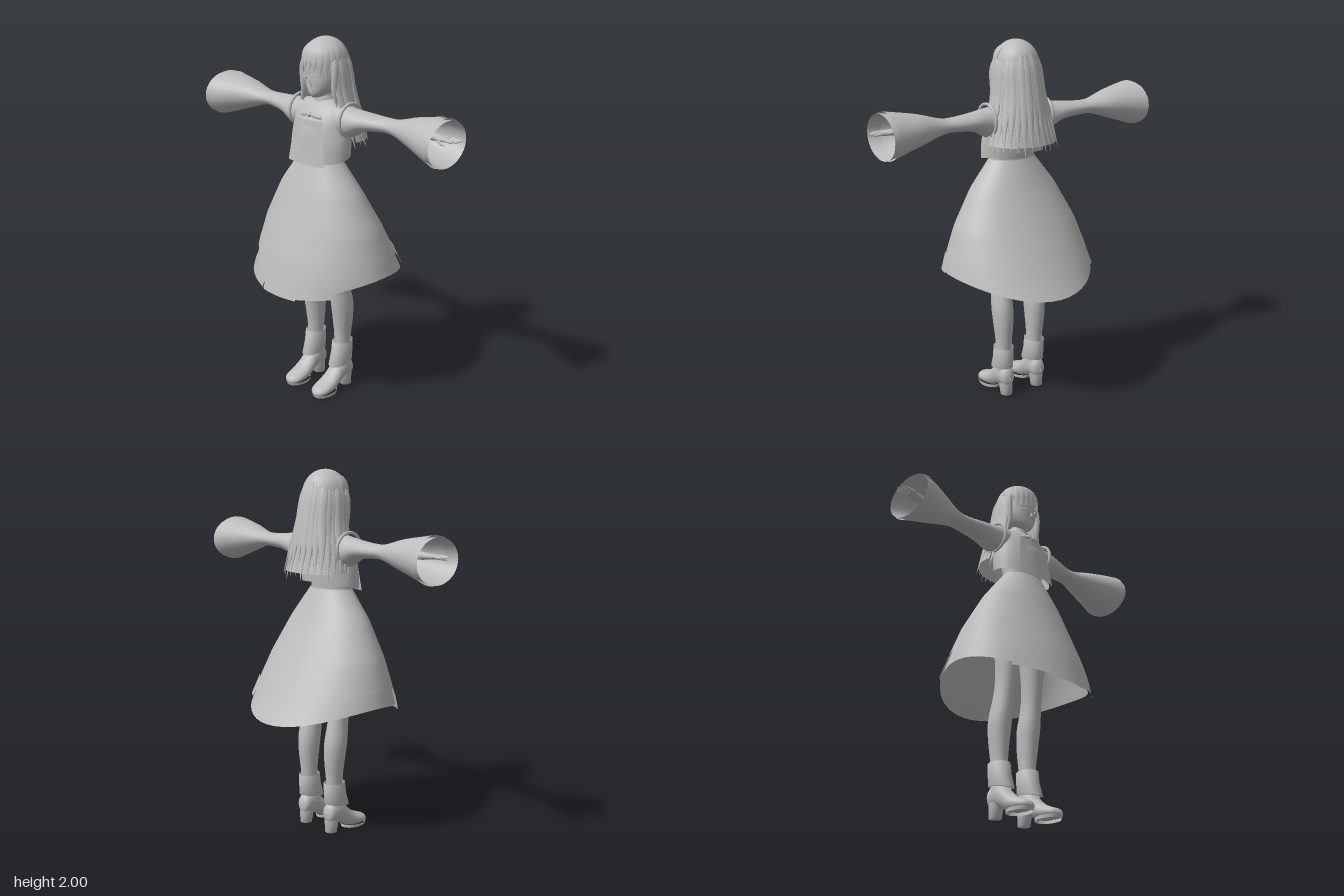
import * as THREE from 'three';

const cloth = new THREE.MeshStandardMaterial({ color: 0xbcbcbc, side: THREE.DoubleSide });
cloth.name = 'plain grey';

const { sin, cos, PI, abs } = Math;
const rad = d => d * PI / 180;

// Surface from a rule fn(u, v) -> [x, y, z]; closed joins the u direction
function surface(fn, nu, nv, closed = false) {
  const pos = [], idx = [], cols = closed ? nu : nu + 1;
  for (let j = 0; j <= nv; j++)
    for (let i = 0; i < cols; i++) pos.push(...fn(i / nu, j / nv));
  for (let j = 0; j < nv; j++)
    for (let i = 0; i < nu; i++) {
      const a = j * cols + i, b = j * cols + (i + 1) % cols;
      idx.push(a, b, a + cols, b, b + cols, a + cols);
    }
  const g = new THREE.BufferGeometry();
  g.setAttribute('position', new THREE.Float32BufferAttribute(pos, 3));
  g.setIndex(idx);
  g.computeVertexNormals();
  return g;
}

// Elliptical rings [x, y, z, a, b, tilt, turn] joined along one axis
function loft(rings, axis = 'y', seg = 20) {
  return surface((u, v) => {
    const [x, y, z, a, b, tilt = 0, turn = 0] = rings[Math.round(v * (rings.length - 1))];
    const t = u * 2 * PI, p = a * cos(t), q = b * sin(t);
    if (axis === 'x') return [x, y + p, z + q];
    if (axis === 'z') return [x + p, y + q, z];
    return [x + p * cos(turn) - q * sin(turn), y - tilt * sin(t), z + p * sin(turn) + q * cos(turn)];
  }, seg, rings.length - 1, true);
}

// Smoothly resample rings through a few key sections
function smooth(keys, n) {
  const at = t => {
    const f = Math.min(t * (keys.length - 1), keys.length - 1.0001), i = Math.floor(f), w = f - i;
    const k = d => keys[Math.max(0, Math.min(keys.length - 1, i + d))];
    return k(0).map((p1, c) => {
      const m1 = (k(1)[c] - k(-1)[c]) / 2, m2 = (k(2)[c] - p1) / 2, p2 = k(1)[c];
      return p1 + w * m1 + w * w * (3 * (p2 - p1) - 2 * m1 - m2) + w ** 3 * (2 * (p1 - p2) + m1 + m2);
    });
  };
  return Array.from({ length: n + 1 }, (_, i) => at(i / n));
}

// Skirt sections: height, side, front and back reach
const SKIRT = [[1.36, .125, .155, .015], [1.2, .25, .215, .09], [1.0, .355, .285, .20],
  [.85, .402, .338, .285], [.76, .425, .365, .335], [.65, .435, .395, .405]];
function skirtPoint(th, y, off = 0) {
  let i = 0;
  while (i < SKIRT.length - 2 && y < SKIRT[i + 1][0]) i++;
  const A = SKIRT[i], B = SKIRT[i + 1], w = (A[0] - y) / (A[0] - B[0]);
  const [s, f, b] = [1, 2, 3].map(k => A[k] + (B[k] - A[k]) * w);
  return [(s + off) * cos(th), y, (f - b) / 2 + ((f + b) / 2 + off) * sin(th)];
}

// Tapered flat hair lock through points, turned to face outward
function lock(points, width, thick, turn) {
  const curve = new THREE.CatmullRomCurve3(points.map(p => new THREE.Vector3(...p)));
  const n = 9;
  return loft(Array.from({ length: n + 1 }, (_, i) => {
    const t = i / n, p = curve.getPoint(t), w = Math.max(.03, Math.min(1, (1 - t) * 2.6, .45 + t * 3));
    return [p.x, p.y, p.z, width * w, thick * w, 0, turn];
  }), 'y', 8);
}

export function createModel() {
  const model = new THREE.Group();
  const add = (name, geo, parent = model) => {
    const m = new THREE.Mesh(geo, cloth);
    m.name = name;
    parent.add(m);
    return m;
  };

  // Skirt: full layer with a dipping hem, and a shorter layer over it
  const layer = (hem, dip, off) => surface((u, v) => {
    const th = u * 2 * PI, low = hem - dip * sin(th) ** 2;
    return skirtPoint(th, 1.36 - v * (1.36 - low), off);
  }, 48, 18, true);
  add('underSkirt', layer(.765, .095, 0), model);
  add('overSkirt', layer(.85, .065, .009), model);

  // Flaps lying on the skirt: four corners as [degrees, height]
  const flap = (name, c, off = .016) => add(name, surface((u, v) => {
    const m = k => (c[0][k] * (1 - u) + c[1][k] * u) * (1 - v) + (c[3][k] * (1 - u) + c[2][k] * u) * v;
    return skirtPoint(rad(m(0)), m(1), off);
  }, 6, 8));
  for (const s of [-1, 1]) {
    const a = d => 90 + s * d;
    flap('frontFlap', [[a(28), .97], [a(14), .89], [a(16), .665], [a(44), .69]]);
    flap('sideFlap', [[a(78), .86], [a(66), .86], [a(64), .76], [a(80), .77]]);
    flap('backSideFlap', [[a(146), .86], [a(128), .86], [a(128), .76], [a(146), .76]]);
  }
  flap('frontHemPanel', [[105, .75], [75, .75], [74, .655], [106, .655]], .012);
  flap('backFlap', [[-98, .85], [-82, .85], [-82, .74], [-98, .74]]);

  // Torso, belt, cropped vest and neck
  add('waist', loft([[0, 1.3, .07, .14, .09], [0, 1.38, .07, .128, .085], [0, 1.5, .06, .15, .1]]));
  add('belt', loft([[0, 1.33, .07, .142, .096], [0, 1.365, .07, .134, .092]], 'y', 28));
  add('vest', loft(smooth([[0, 1.375, .065, .185, .125, .025], [0, 1.46, .06, .185, .125, .01],
    [0, 1.54, .05, .175, .122, 0], [0, 1.61, .04, .168, .1, 0], [0, 1.655, .03, .13, .075, 0],
    [0, 1.68, .03, .05, .048, 0]], 20), 'y', 36));
  add('shirtFront', surface((u, v) => {
    const x = (u - .5) * (.2 + .06 * v), y = 1.58 - .235 * v;
    return [x, y, .165 + .032 * v - x * x * 1.2];
  }, 8, 8));
  add('collar', loft([[0, 1.66, .035, .066, .062, .012], [0, 1.70, .04, .05, .05, .006]]));
  add('neck', loft([[0, 1.62, .035, .05, .05], [0, 1.76, .045, .043, .045]]));

  // Chest bow
  for (const s of [-1, 1]) {
    const bow = add('bowWing', new THREE.SphereGeometry(1, 12, 8));
    bow.scale.set(.038, .013, .008);
    bow.position.set(s * .042, 1.603, .145);
    bow.rotation.set(-.3, s * .25, s * -.15);
  }
  add('bowKnot', new THREE.SphereGeometry(.014, 10, 8)).position.set(0, 1.605, .15);

  // Arms, sleeves and hands
  for (const s of [-1, 1]) {
    const arm = new THREE.Group();
    arm.name = s > 0 ? 'leftArm' : 'rightArm';
    model.add(arm);
    const sx = r => r.map(k => [k[0] * s, ...k.slice(1)]);
    add('sleeve', loft(sx(smooth([[.12, 1.585, .03, .075, .08], [.2, 1.575, .03, .075, .08],
      [.28, 1.59, .018, .05, .075], [.4, 1.594, .005, .038, .06], [.48, 1.594, .005, .042, .062],
      [.6, 1.592, .01, .078, .098], [.7, 1.585, .02, .103, .13], [.785, 1.578, .025, .124, .155]], 28)), 'x', 28), arm);
    add('innerCuff', loft(sx([[.74, 1.58, .022, .106, .136], [.807, 1.575, .026, .118, .15]]), 'x', 28), arm);
    add('sleevePatch', surface((u, v) => {
      const x = .58 + .17 * u, z = -.035 + .085 * v;
      return [s * x, 1.662 + .036 * u - (z - .01) ** 2 * 1.5, z];
    }, 6, 4), arm);
    add('armhole', new THREE.TorusGeometry(.087, .009, 8, 24), arm);
    const hole = arm.children.at(-1);
    hole.position.set(s * .182, 1.585, .03);
    hole.rotation.y = PI / 2;
    add('forearm', loft(sx([[.5, 1.595, .01, .03, .03], [.72, 1.598, .014, .02, .023],
      [.76, 1.598, .016, .015, .033], [.805, 1.6, .016, .012, .036], [.81, 1.6, .016, .001, .001]]), 'x', 12), arm);
    for (let i = 0; i < 4; i++) {
      const z = -.01 + i * .018, tip = [.855, .872, .876, .862][3 - i];
      add('finger', loft(sx([[.795, 1.602, z, .008, .008], [tip - .01, 1.599, z * 1.15, .006, .006],
        [tip, 1.598, z * 1.15, .001, .001]]), 'x', 8), arm);
    }
    add('thumb', loft(sx([[.755, 1.594, .035, .009, .01], [.8, 1.585, .065, .007, .007],
      [.83, 1.582, .074, .001, .001]]), 'x', 8), arm);
  }

  // Legs and heeled boots
  for (const s of [-1, 1]) {
    const leg = new THREE.Group();
    leg.name = s > 0 ? 'leftLeg' : 'rightLeg';
    leg.position.x = s * .105;
    model.add(leg);
    add('stocking', loft(smooth([[-s * .025, 1.2, .06, .08, .085], [-s * .012, .95, .055, .072, .08],
      [-s * .005, .75, .043, .054, .063], [0, .64, .028, .05, .062], [s * .003, .52, .008, .058, .068],
      [s * .002, .42, 0, .053, .062], [0, .3, 0, .043, .05], [0, .12, .01, .038, .045]], 30)), leg);
    add('bootCuff', loft([[0, .27, 0, .04, .048], [0, .285, 0, .053, .065], [0, .22, .005, .054, .068],
      [0, .155, .018, .053, .08, .012], [0, .155, .018, .042, .06, .012]]), leg);
    add('shoe', loft(smooth([[0, .1, -.064, .002, .01], [0, .105, -.05, .037, .05], [0, .12, 0, .045, .07],
      [0, .105, .04, .048, .07], [0, .068, .085, .052, .055], [0, .045, .13, .056, .042],
      [0, .034, .18, .053, .03], [0, .028, .215, .036, .022], [0, .024, .23, .002, .004]], 24), 'z', 20), leg);
    add('sole', loft([[0, 0, .145, .056, .078], [0, .018, .148, .058, .082]]), leg);
    add('heel', loft([[0, 0, -.025, .001, .001], [0, 0, -.025, .033, .034], [0, .075, -.018, .04, .042]]), leg);
    add('ankleStrap', loft([[0, .125, .022, .05, .066, .02], [0, .148, .016, .047, .06, .02]]), leg);
  }

  // Head and face
  const head = new THREE.Group();
  head.name = 'head';
  model.add(head);
  add('face', loft(smooth([[0, 1.688, .105, .004, .006], [0, 1.693, .092, .026, .03], [0, 1.715, .07, .055, .066],
    [0, 1.75, .05, .083, .09], [0, 1.79, .04, .097, .103], [0, 1.85, .033, .102, .11],
    [0, 1.92, .03, .092, .1], [0, 1.975, .03, .03, .03]], 24), 'y', 28), head);
  add('nose', new THREE.ConeGeometry(.011, .036, 8), head).position.set(0, 1.772, .146);
  const mouth = add('mouth', new THREE.BoxGeometry(.028, .004, .006), head);
  mouth.position.set(0, 1.727, .135);
  for (const s of [-1, 1]) {
    const eye = add('eye', new THREE.CylinderGeometry(1, 1, 1, 18), head);
    eye.scale.set(.02, .006, .016);
    eye.rotation.set(PI / 2, 0, s * -.42);
    eye.position.set(s * .047, 1.797, .133);
    const lash = add('eyelash', new THREE.BoxGeometry(.046, .005, .008), head);
    lash.position.set(s * .048, 1.815, .133);
    lash.rotation.y = s * .45;
  }

  // Hair: cap, back curtain, layered locks and fringe
  const hair = new THREE.Group();
  hair.name = 'hair';
  model.add(hair);
  const cap = add('hairCap', new THREE.SphereGeometry(1, 32, 14, 0, PI * 2, 0, PI * .55), hair);
  cap.scale.set(.12, .128, .127);
  cap.position.set(0, 1.87, .028);
  cap.rotation.x = -.3;
  const FALL = [[1.93, .095, .035, .115], [1.84, .122, .03, .135], [1.7, .135, .02, .152],
    [1.56, .175, 0, .16], [1.41, .208, -.025, .165]];
  const fall = (phi, drop = 0, grow = 0) => FALL.map(([y, a, z, b], i) =>
    [(a + grow) * sin(phi), y + drop * i / 4, z - (b + grow) * cos(phi)]);
  add('backHair', surface((u, v) => {
    const f = v * 3.999, i = Math.floor(f), p = fall((u - .5) * rad(200), .05, -.008);
    return p[i].map((c, k) => c + (p[i + 1][k] - c) * (f - i));
  }, 30, 16), hair);
  for (let i = 0; i < 19; i++) {
    const phi = rad(-103 + i * 206 / 18);
    add('backLock', lock(fall(phi, .035 * abs(sin(i * 2.3)), .002 * (i % 3)), .026, .011, phi), hair);
  }
  for (let i = 0; i < 11; i++) {
    const phi = rad(-80 + i * 16), c = cos(phi), q = sin(phi), side = abs(i - 5) / 5;
    const tip = 1.825 - .1 * side ** 2 - .022 * (i % 2);
    add('fringeLock', lock([[.05 * q, 1.982, .03 + .055 * c], [.1 * q, 1.94, .03 + .103 * c],
      [.116 * q, 1.88, .03 + .12 * c], [.114 * q, tip, .032 + .121 * c]], .022, .007, -phi), hair);
  }
  for (const s of [-1, 1])
    add('sideLock', lock([[s * .09, 1.93, .06], [s * .115, 1.84, .075], [s * .112, 1.72, .075],
      [s * .125, 1.64, .07]], .017, .022, 0), hair);
  return model;
}
